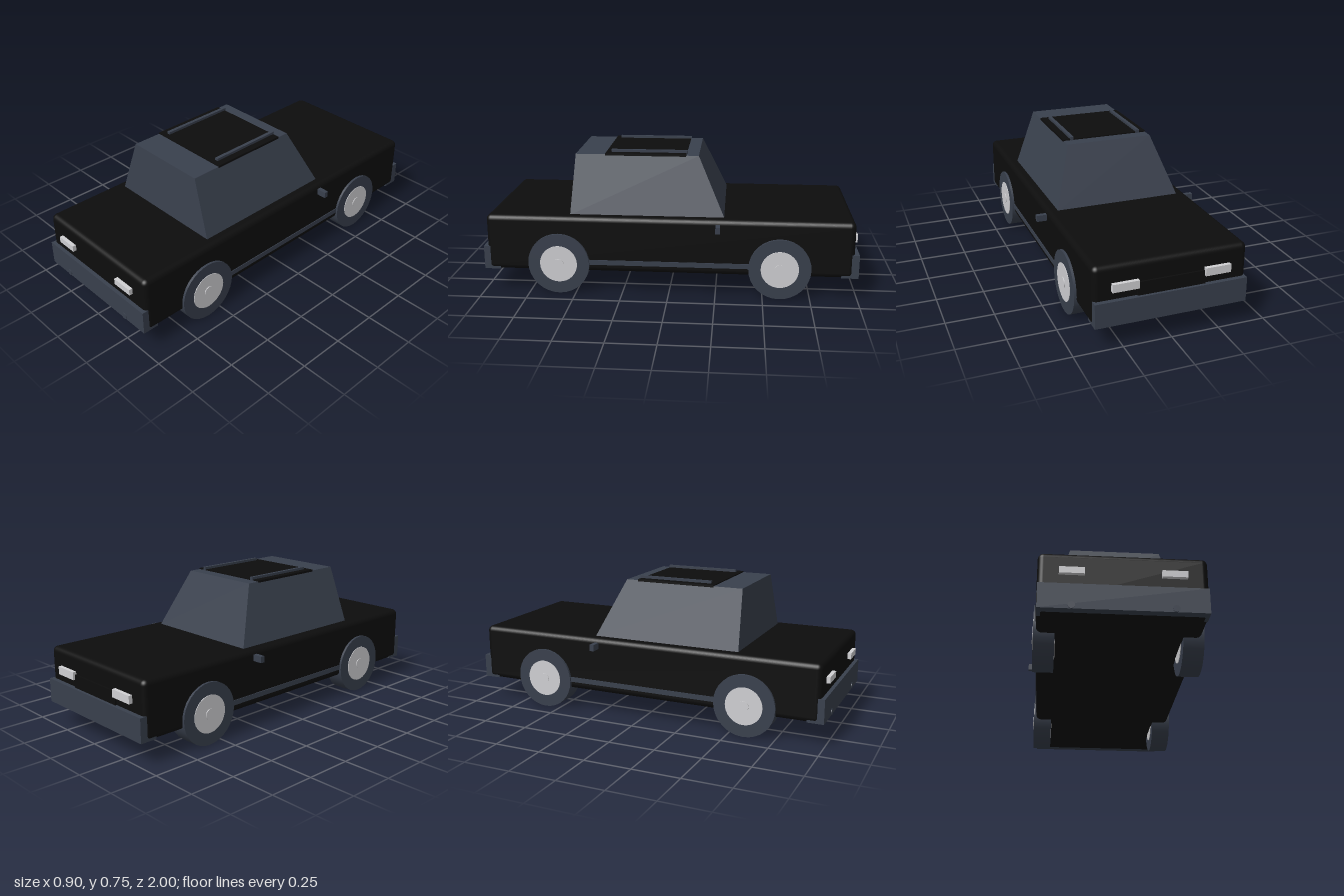
import * as THREE from 'three';
import { RoundedBoxGeometry } from 'three/addons/geometries/RoundedBoxGeometry.js';

const mat = (name, color) => {
  const m = new THREE.MeshStandardMaterial({ color });
  m.name = name;
  return m;
};

export function createModel() {
  const car = new THREE.Group();
  car.name = 'car';
  const black = mat('black paint', 0x0d0d0d);
  const slate = mat('slate grey', 0x39404d);
  const silver = mat('silver', 0xd0d0d3);

  const add = (name, geometry, material, x = 0, y = 0, z = 0, parent = car) => {
    const mesh = new THREE.Mesh(geometry, material);
    mesh.name = name;
    mesh.position.set(x, y, z);
    parent.add(mesh);
    return mesh;
  };
  // Box given by its lower and upper corners
  const block = (name, material, [x0, y0, z0], [x1, y1, z1]) =>
    add(name, new THREE.BoxGeometry(x1 - x0, y1 - y0, z1 - z0), material,
      (x0 + x1) / 2, (y0 + y1) / 2, (z0 + z1) / 2);

  // Lower body with rounded edges
  add('body', new RoundedBoxGeometry(0.792, 0.303, 1.952, 4, 0.028), black, 0, 0.2725, 0);

  // Tapered cabin: a box whose corners are moved in towards the roof
  const cabin = new THREE.BoxGeometry(1, 1, 1).toNonIndexed();
  const p = cabin.attributes.position;
  for (let i = 0; i < p.count; i++) {
    const top = p.getY(i) > 0;
    const end = p.getZ(i) > 0;
    p.setXYZ(i, Math.sign(p.getX(i)) * (top ? 0.236 : 0.342), top ? 0.73 : 0.42,
      end ? (top ? 0.51 : 0.53) : (top ? -0.15 : -0.293));
  }
  cabin.computeVertexNormals();
  add('cabin', cabin, slate);

  // Roof panel
  block('roofPanel', black, [-0.238, 0.724, -0.083], [0.238, 0.736, 0.35]);

  // Bumpers and grille
  block('bumperFront', slate, [-0.393, 0.122, 0.91], [0.393, 0.25, 0.996]);
  block('bumperBack', slate, [-0.393, 0.122, -1], [0.393, 0.25, -0.91]);
  block('grille', black, [-0.175, 0.25, -0.985], [0.175, 0.32, -0.95]);

  // Wheel parts, lying along x
  const disc = (r, w, n = 32) => new THREE.CylinderGeometry(r, r, w, n).rotateZ(Math.PI / 2);
  const tyre = disc(0.165, 0.102);
  const hub = disc(0.1, 0.108);
  const cap = disc(0.028, 0.116, 20);
  const pipe = new THREE.CylinderGeometry(0.017, 0.017, 0.1, 20).rotateX(Math.PI / 2);

  for (const s of [-1, 1]) {
    const side = s > 0 ? 'Left' : 'Right';
    const pair = (name, material, a, b) =>
      block(name + side, material, [Math.min(s * a[0], s * b[0]), a[1], a[2]],
        [Math.max(s * a[0], s * b[0]), b[1], b[2]]);

    pair('roofRail', slate, [0.181, 0.73, -0.088], [0.199, 0.749, 0.322]);
    pair('lightFront', silver, [0.178, 0.305, 0.95], [0.297, 0.338, 0.996]);
    pair('lightBack', silver, [0.17, 0.293, -0.996], [0.304, 0.335, -0.95]);
    pair('mirror', slate, [0.38, 0.367, -0.272], [0.45, 0.401, -0.248]);
    pair('sideSkirt', slate, [0.38, 0.161, -0.47], [0.4, 0.188, 0.47]);
    add('exhaust' + side, pipe, slate, s * 0.237, 0.139, 0.95);

    for (const z of [-0.588, 0.588]) {
      const wheel = new THREE.Group();
      wheel.name = 'wheel' + (z > 0 ? 'Front' : 'Back') + side;
      wheel.position.set(s * 0.358, 0.165, z);
      add('tyre', tyre, slate, 0, 0, 0, wheel);
      add('hub', hub, silver, 0, 0, 0, wheel);
      add('hubCap', cap, silver, 0, 0, 0, wheel);
      car.add(wheel);
    }
  }
  return car;
}
